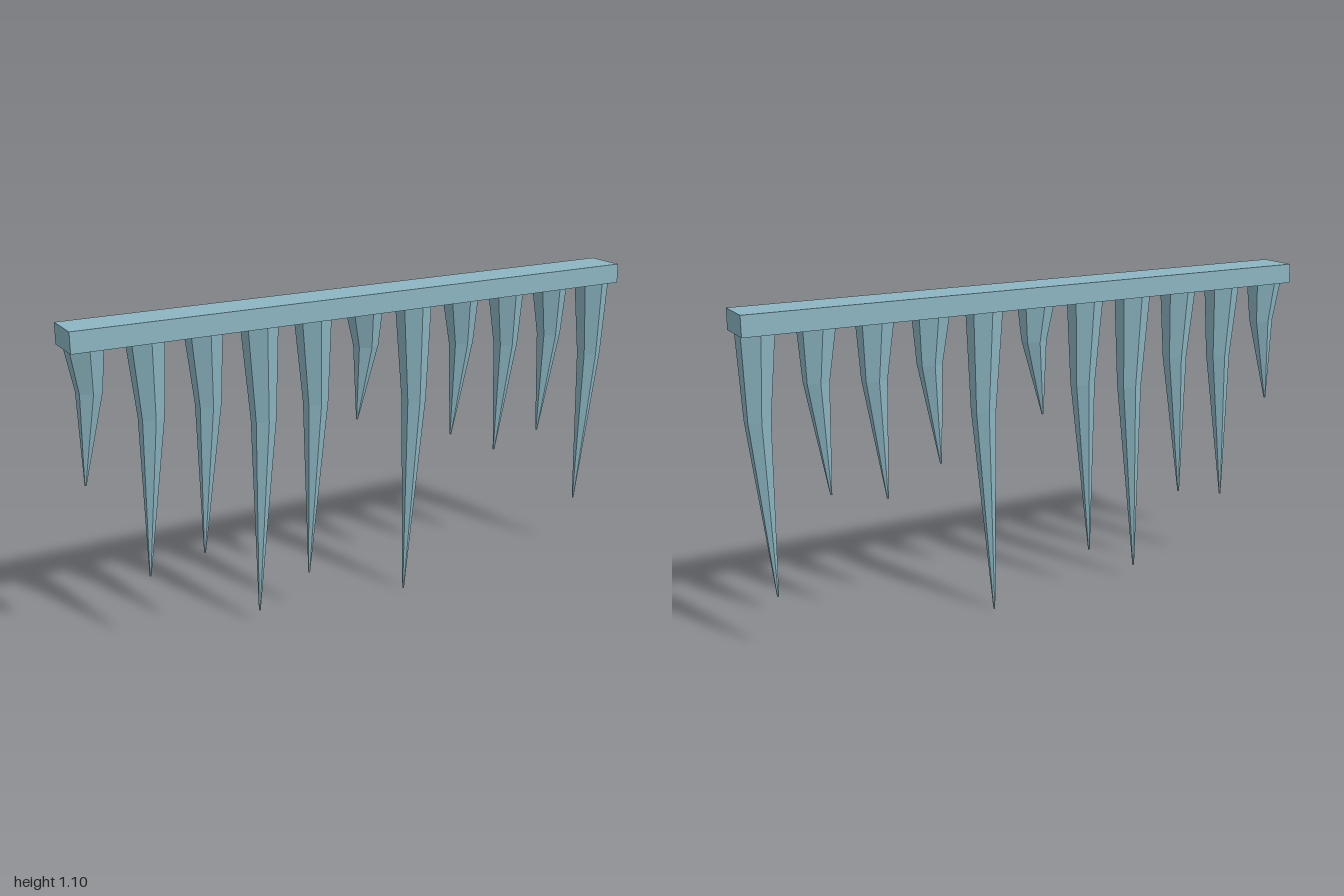
import * as THREE from 'three';

const BAR_BOTTOM = 1.03;
const BAR_TOP = 1.096;

// Six-sided spike: wide root, offset middle ring, narrow bent tip
function icicleGeometry(length) {
  const rings = [
    { y: 0, r: 0.06, x: 0, z: 0 },
    { y: -0.32 * length, r: 0.041, x: 0.009, z: -0.005 },
    { y: -length, r: 0.003, x: -0.019, z: -0.014 },
  ];
  const geometry = new THREE.CylinderGeometry(1, 1, 2, 6, 2);
  const p = geometry.attributes.position;
  for (let i = 0; i < p.count; i++) {
    const ring = rings[Math.round(1 - p.getY(i))];
    p.setXYZ(i, p.getX(i) * ring.r + ring.x, ring.y, p.getZ(i) * ring.r + ring.z);
  }
  // Separate faces for crisp facets
  const faceted = geometry.toNonIndexed();
  faceted.computeVertexNormals();
  return faceted;
}

export function createModel() {
  const model = new THREE.Group();
  model.name = 'icicleRow';
  const ice = new THREE.MeshStandardMaterial({ color: 0x8cb6c2 });
  ice.name = 'paleIce';

  // Ledge the icicles hang from
  const bar = new THREE.Mesh(new THREE.BoxGeometry(2, BAR_TOP - BAR_BOTTOM, 0.138), ice);
  bar.name = 'ledge';
  bar.position.y = (BAR_TOP + BAR_BOTTOM) / 2;
  model.add(bar);

  // Evenly spaced icicles, given by the height of each tip
  const tips = [0.6, 0.26, 0.3, 0.05, 0.145, 0.66, 0, 0.545, 0.457, 0.5, 0.2];
  tips.forEach((tip, i) => {
    const icicle = new THREE.Mesh(icicleGeometry(BAR_BOTTOM - tip), ice);
    icicle.name = `icicle${i + 1}`;
    icicle.position.set((i - 5) * 0.188, BAR_BOTTOM, 0);
    model.add(icicle);
  });

  return model;
}
